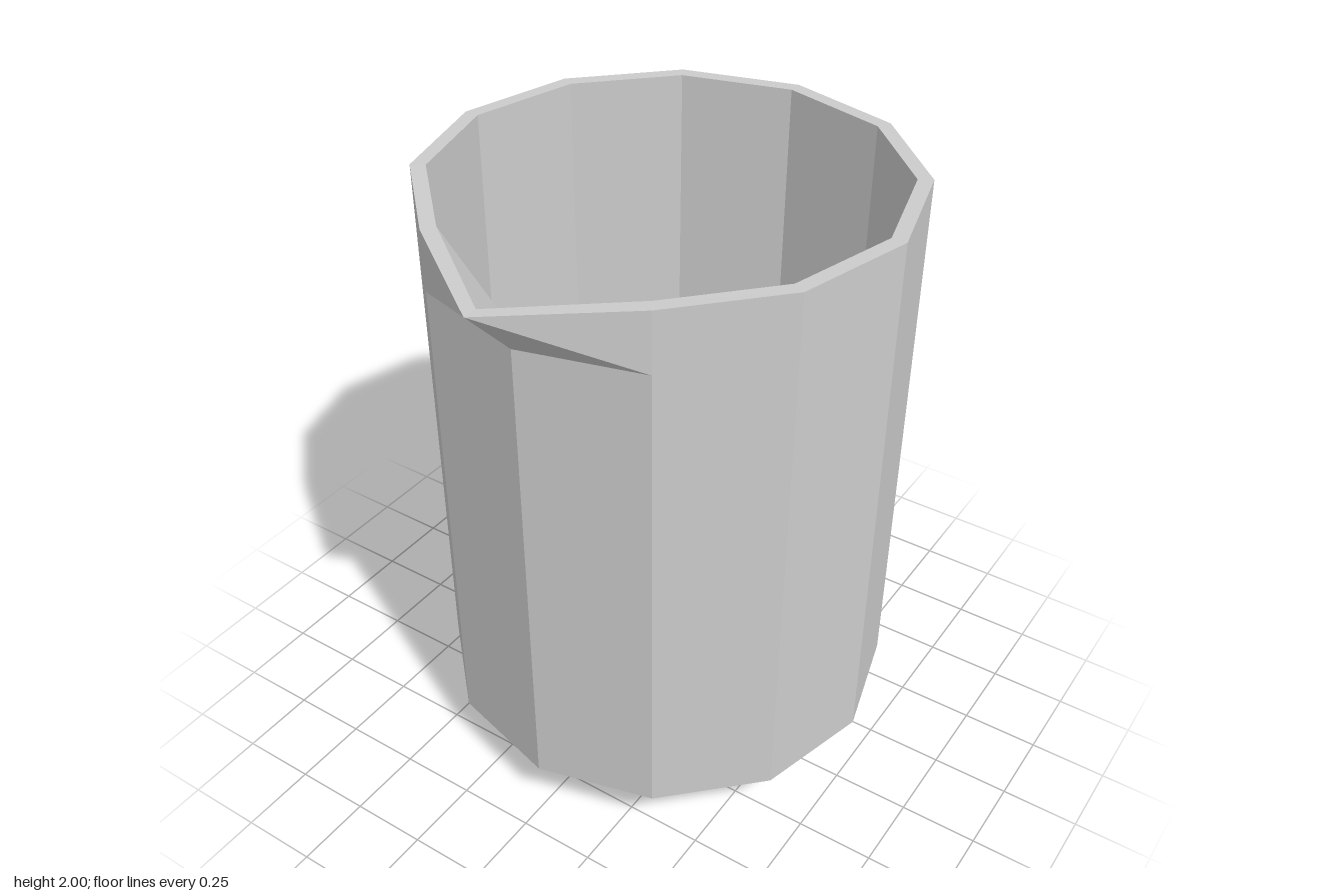
import * as THREE from 'three';

const SIDES = 12;
const CENTRE_Z = -0.085;

// Faceted surface through rings of [radius, height]; the top rings are pulled out into the spout.
function ringSurface(name, rings, material) {
  const point = (j, i) => {
    const [r, y, lip] = rings[j];
    const k = i % SIDES;
    const a = (k / SIDES) * Math.PI * 2;
    const p = new THREE.Vector3(r * Math.sin(a), y, r * Math.cos(a) + CENTRE_Z);
    if (lip) {
      // spout tip, with the rim dipping slightly towards it
      if (k === 0) { p.z += 0.17; p.y -= 0.018; }
      if (k === 1 || k === SIDES - 1) p.y -= 0.008;
    }
    return p;
  };
  const positions = [];
  const tri = (...pts) => pts.forEach((p) => positions.push(p.x, p.y, p.z));
  for (let j = 0; j < rings.length - 1; j++) {
    for (let i = 0; i < SIDES; i++) {
      const a = point(j, i), b = point(j, i + 1), c = point(j + 1, i + 1), d = point(j + 1, i);
      if (rings[j][0] === 0) tri(a, c, d);
      else if (rings[j + 1][0] === 0) tri(a, b, c);
      else if (i < SIDES / 2) { tri(a, b, d); tri(b, c, d); } // diagonals mirror left to right
      else { tri(a, b, c); tri(a, c, d); }
    }
  }
  const geometry = new THREE.BufferGeometry();
  geometry.setAttribute('position', new THREE.Float32BufferAttribute(positions, 3));
  geometry.computeVertexNormals();
  const mesh = new THREE.Mesh(geometry, material);
  mesh.name = name;
  return mesh;
}

export function createModel() {
  const group = new THREE.Group();
  group.name = 'beaker';
  const material = new THREE.MeshStandardMaterial({ color: 0xcccccc, flatShading: true });
  const R = 0.75, r = 0.703;

  // Shallow pointed underside and bevel
  group.add(ringSurface('base', [[0, 0.005], [0.55, 0.06], [R, 0.19]], material));
  // Outer wall with the spout at the front
  group.add(ringSurface('outerWall', [[R, 0.19], [R, 1.8], [R, 2, true]], material));
  // Rim
  group.add(ringSurface('rim', [[R, 2, true], [r, 2, true]], material));
  // Inner wall
  group.add(ringSurface('innerWall', [[r, 2, true], [r, 1.8], [r, 0.19]], material));
  // Inside floor
  group.add(ringSurface('floor', [[r, 0.19], [0, 0.19]], material));
  return group;
}
